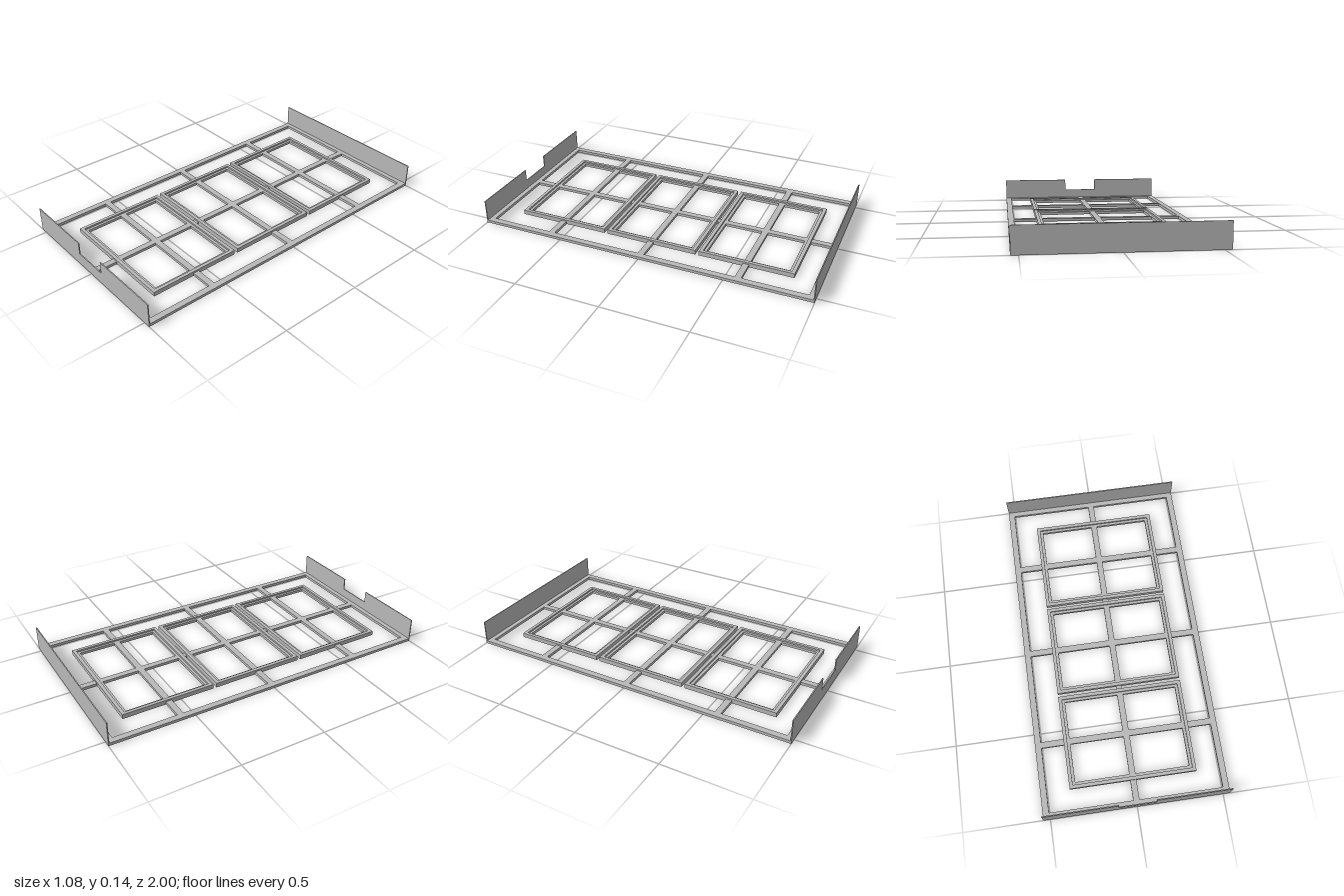
import * as THREE from 'three';

const metal = new THREE.MeshStandardMaterial({ color: 0xb8b8b8 });
metal.name = 'grey metal';

function box(name, w, h, d, x, y, z) {
  const mesh = new THREE.Mesh(new THREE.BoxGeometry(w, h, d), metal);
  mesh.name = name;
  mesh.position.set(x, y + h / 2, z);
  return mesh;
}

// Flat rectangular ring lying in the xz plane, given as half sizes and border width
function ring(name, hx, hz, border, y, h) {
  const outline = (C, a, b) => new C([[-a, -b], [a, -b], [a, b], [-a, b]].map(p => new THREE.Vector2(...p)));
  const shape = outline(THREE.Shape, hx, hz);
  shape.holes.push(outline(THREE.Path, hx - border, hz - border));
  const geo = new THREE.ExtrudeGeometry(shape, { depth: h, bevelEnabled: false });
  geo.rotateX(-Math.PI / 2);
  const mesh = new THREE.Mesh(geo, metal);
  mesh.name = name;
  mesh.position.y = y;
  return mesh;
}

export function createModel() {
  const model = new THREE.Group();
  model.name = 'rackFrame';
  const W = 0.54, BAR = 0.036, H = 0.017, WALL = 0.006;

  // Base frame: outer ring, spine and cross bars
  model.add(ring('outerFrame', W, 1, BAR, 0, H));
  model.add(box('spine', BAR, H, 2 - 2 * BAR, 0, 0, 0));
  for (const z of [-0.573, 0, 0.573]) {
    for (const s of [-1, 1]) {
      const len = W - BAR * 1.5;
      model.add(box('crossBar', len, H, BAR, s * (BAR / 2 + len / 2), 0, z - 0.002));
    }
  }

  // Three rectangular seats, each with a raised rim along its outer edge
  for (const z of [-0.573, 0, 0.573]) {
    const seat = new THREE.Group();
    seat.name = 'panelSeat';
    seat.position.z = z;
    seat.add(ring('seatFloor', 0.37, 0.276, 0.036, 0, H));
    seat.add(ring('seatRim', 0.37, 0.276, 0.02, H, 0.01));
    model.add(seat);
  }

  // Plain back wall
  model.add(box('backWall', 2 * W, 0.145, WALL, 0, 0, -1 + WALL / 2));

  // Front wall with a notch in its top edge
  const pts = [[-W, 0], [W, 0], [W, 0.145], [0.108, 0.145], [0.108, 0.072],
    [-0.108, 0.072], [-0.108, 0.145], [-W, 0.145]].map(p => new THREE.Vector2(...p));
  const front = new THREE.Mesh(
    new THREE.ExtrudeGeometry(new THREE.Shape(pts), { depth: WALL, bevelEnabled: false }), metal);
  front.name = 'frontWall';
  front.position.z = 1 - WALL;
  model.add(front);

  return model;
}
